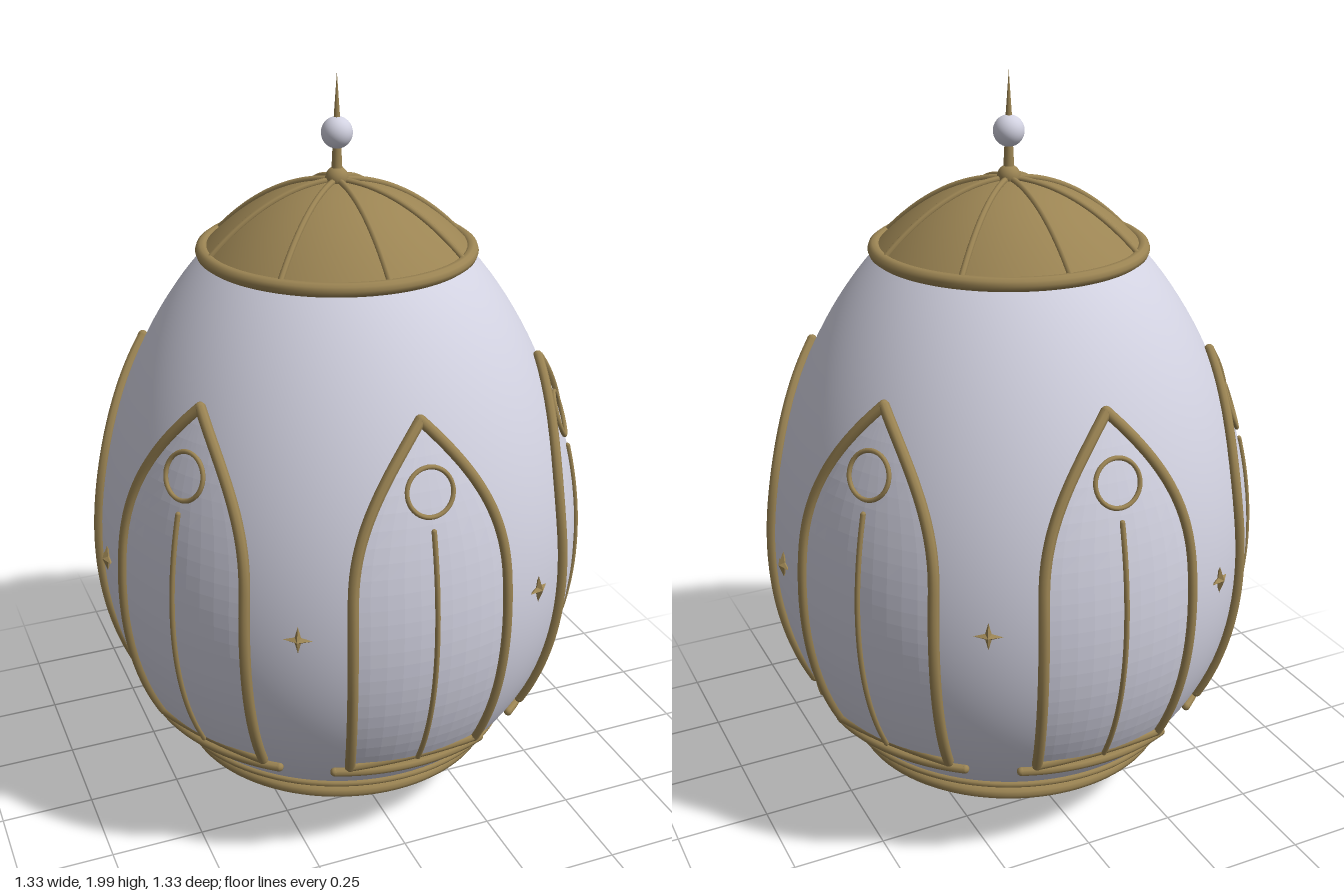
import * as THREE from 'three';

const shell = new THREE.MeshStandardMaterial({ color: 0xd2d2e1 });
shell.name = 'pale lavender';
const gold = new THREE.MeshStandardMaterial({ color: 0x9b8453 });
gold.name = 'antique gold';

// Egg profile: radius at height y
const MID = 0.865, HALF = 0.855;
function eggRadius(y) {
  const c = THREE.MathUtils.clamp((y - MID) / HALF, -1, 1);
  return 0.643 * Math.sqrt(1 - c * c) * (1 - 0.149 * c);
}

// Point on the egg at azimuth a and height y, lifted along the normal
function onEgg(a, y, lift = 0) {
  const slope = (eggRadius(y + 0.002) - eggRadius(y - 0.002)) / 0.004;
  const n = Math.hypot(1, slope);
  const r = eggRadius(y) + lift / n;
  return new THREE.Vector3(Math.sin(a) * r, y - (lift * slope) / n, Math.cos(a) * r);
}

function add(parent, name, geometry, material) {
  const mesh = new THREE.Mesh(geometry, material);
  mesh.name = name;
  parent.add(mesh);
  return mesh;
}

// Round rod through points, with ball ends
function rod(parent, name, points, radius, segments = 32) {
  const curve = new THREE.CatmullRomCurve3(points);
  add(parent, name, new THREE.TubeGeometry(curve, segments, radius, 8), gold);
  for (const p of [points[0], points[points.length - 1]]) {
    add(parent, name + 'End', new THREE.SphereGeometry(radius, 8, 6), gold).position.copy(p);
  }
}

function ring(parent, name, y, radius, tube) {
  const mesh = add(parent, name, new THREE.TorusGeometry(radius, tube, 10, 96), gold);
  mesh.rotation.x = Math.PI / 2;
  mesh.position.y = y;
}

const samples = (n, fn) => Array.from({ length: n + 1 }, (_, i) => fn(i / n));

// Window outline: half angle at height y, upright then a pointed arch
const BASE = 0.345, SPRING = 0.86, APEX = 1.28, SPREAD = 0.32;
function halfAngle(y) {
  const s = Math.max(0, (y - SPRING) / (APEX - SPRING));
  return SPREAD * Math.max(0, 1 - Math.pow(s, 2.4));
}

// Faceted panel filling the window
function panelGeometry() {
  const cols = 10, rows = 24, pos = [], index = [];
  for (let j = 0; j <= rows; j++) {
    const y = BASE + ((APEX - BASE) * j) / rows;
    for (let i = 0; i <= cols; i++) {
      pos.push(...onEgg(halfAngle(y) * ((2 * i) / cols - 1), y, 0.006).toArray());
      if (i < cols && j < rows) {
        const a = j * (cols + 1) + i, b = a + cols + 1;
        index.push(a, a + 1, b + 1, a, b + 1, b);
      }
    }
  }
  const g = new THREE.BufferGeometry();
  g.setAttribute('position', new THREE.Float32BufferAttribute(pos, 3));
  g.setIndex(index);
  const flat = g.toNonIndexed();
  flat.computeVertexNormals();
  return flat;
}

function makeWindow() {
  const g = new THREE.Group();
  add(g, 'windowPanel', panelGeometry(), shell);
  for (const side of [-1, 1]) {
    rod(g, 'windowFrame', samples(24, (t) => {
      const y = APEX - (APEX - BASE) * t;
      return onEgg(side * halfAngle(y), y, 0.008);
    }), 0.014, 48);
  }
  rod(g, 'windowFrameBase', samples(8, (t) => {
    const u = 2 * t - 1;
    return onEgg(SPREAD * u, BASE, 0.008 - 0.012 * (1 - u * u));
  }), 0.013);
  rod(g, 'windowSill', samples(10, (t) => onEgg(0.39 * (2 * t - 1), 0.317, 0.008)), 0.012);
  rod(g, 'windowMullion', samples(12, (t) => onEgg(0, 0.35 + 0.68 * t, 0.009)), 0.007);

  // Small round light, lying on the surface
  const light = add(g, 'windowRoundel', new THREE.TorusGeometry(0.06, 0.006, 8, 40), gold);
  const p = onEgg(0, 1.122, 0.009);
  light.position.copy(p);
  light.lookAt(onEgg(0, 1.122, 1));
  return g;
}

// Four-pointed star with a raised centre on both sides
function starGeometry() {
  const rim = samples(7, (t) => t * 7).map((i) => {
    const r = i % 2 ? 0.011 : 0.037, a = (i * Math.PI) / 4;
    return [r * Math.cos(a), r * Math.sin(a), 0];
  });
  const pos = [];
  rim.forEach((p, i) => {
    const q = rim[(i + 1) % 8];
    pos.push(...p, ...q, 0, 0, 0.014, ...q, ...p, 0, 0, -0.014);
  });
  const g = new THREE.BufferGeometry();
  g.setAttribute('position', new THREE.Float32BufferAttribute(pos, 3));
  g.computeVertexNormals();
  return g;
}

export function createModel() {
  const model = new THREE.Group();
  model.name = 'ornamentalEgg';

  // Egg body
  const profile = samples(64, (t) => {
    const y = MID - HALF * Math.cos(t * Math.PI);
    return new THREE.Vector2(eggRadius(y), y);
  });
  add(model, 'eggBody', new THREE.LatheGeometry(profile, 96), shell);

  // Base rings
  ring(model, 'baseRing', 0.16, 0.427, 0.018);
  ring(model, 'upperBaseRing', 0.222, 0.477, 0.009);

  // Six windows with stars between them
  for (let k = 0; k < 6; k++) {
    const pane = makeWindow();
    pane.name = 'window';
    pane.rotation.y = (k * Math.PI) / 3;
    model.add(pane);

    const a = ((k + 0.5) * Math.PI) / 3;
    const star = add(model, 'star', starGeometry(), gold);
    star.position.copy(onEgg(a, 0.775, 0.004));
    star.lookAt(onEgg(a, 0.775, 1));
  }

  // Domed cap with rim and ribs
  const capStart = Math.acos((1.55 - MID) / HALF);
  const capProfile = samples(20, (t) => {
    const y = MID + HALF * Math.cos(capStart * (1 - t));
    return new THREE.Vector2(t === 1 ? 0 : eggRadius(y) + 0.006 * (1 - t), y + 0.008);
  });
  add(model, 'cap', new THREE.LatheGeometry(capProfile, 72), gold);
  ring(model, 'capRim', 1.555, 0.346, 0.018);
  for (let k = 0; k < 8; k++) {
    const a = (k * Math.PI) / 4;
    rod(model, 'capRib', capProfile.map((p) =>
      new THREE.Vector3(Math.sin(a) * p.x, p.y + 0.003, Math.cos(a) * p.x)), 0.008);
  }

  // Finial
  const knob = add(model, 'finialKnob', new THREE.SphereGeometry(0.03, 20, 14), gold);
  knob.position.y = 1.735;
  const stem = add(model, 'finialStem', new THREE.CylinderGeometry(0.01, 0.015, 0.1, 16), gold);
  stem.position.y = 1.785;
  const ball = add(model, 'finialBall', new THREE.SphereGeometry(0.04, 28, 20), shell);
  ball.position.y = 1.85;
  const spike = add(model, 'finialSpike', new THREE.ConeGeometry(0.009, 0.125, 12), gold);
  spike.position.y = 1.9375;

  return model;
}
